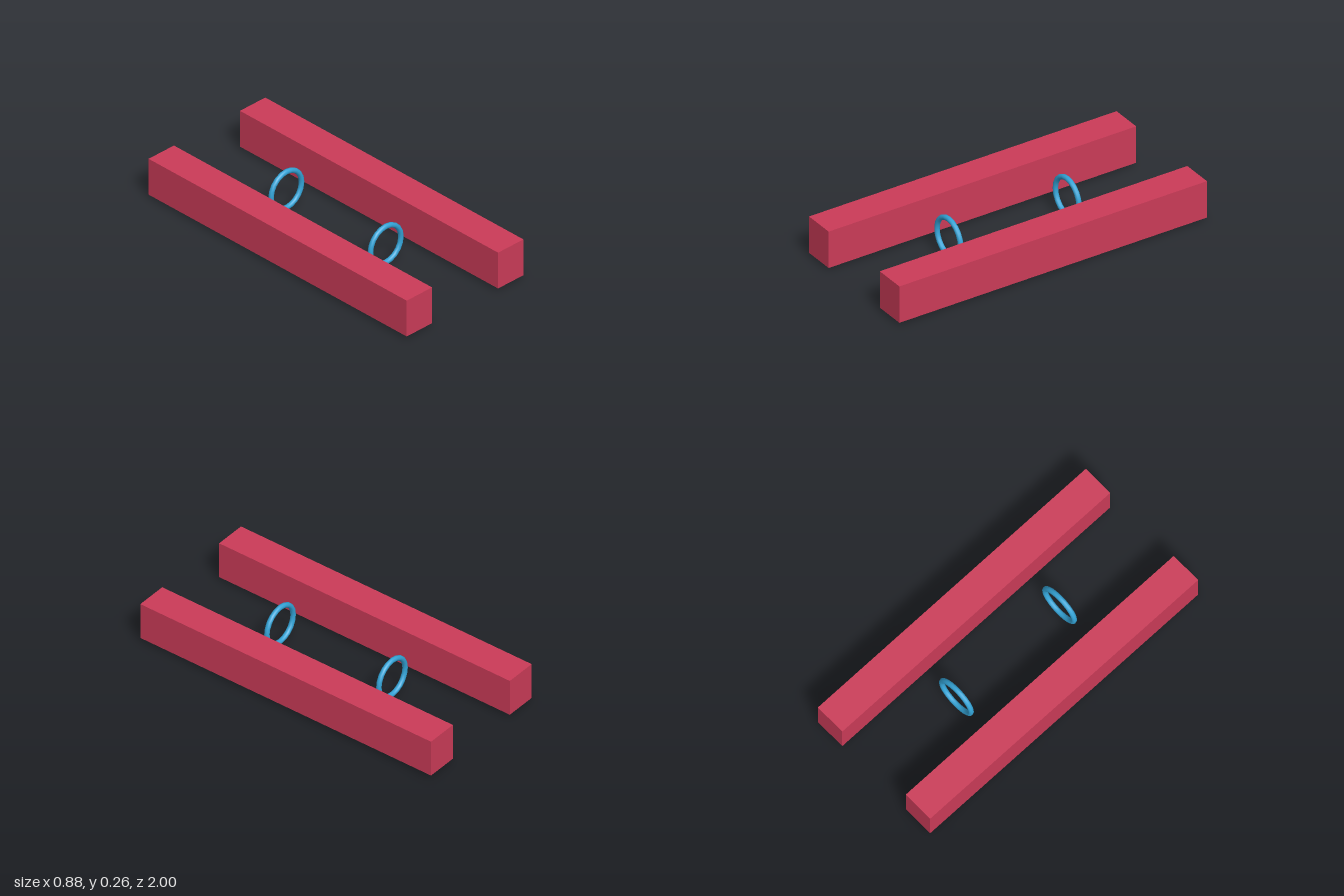
import * as THREE from 'three';

export function createModel() {
  const model = new THREE.Group();
  const red = new THREE.MeshStandardMaterial({ color: 0xcb3b58 });
  red.name = 'crimson';
  const blue = new THREE.MeshStandardMaterial({ color: 0x33a3d6 });
  blue.name = 'sky blue';

  // Two long side beams
  const beamGeometry = new THREE.BoxGeometry(0.192, 0.23, 2);
  for (const [name, side] of [['leftBeam', 1], ['rightBeam', -1]]) {
    const beam = new THREE.Mesh(beamGeometry, red);
    beam.name = name;
    beam.position.set(side * 0.346, 0.131, 0);
    model.add(beam);
  }

  // Two upright rings floating between the beams
  const ringGeometry = new THREE.TorusGeometry(0.1155, 0.0155, 10, 20);
  for (const [name, z] of [['frontRing', 0.385], ['backRing', -0.385]]) {
    const ring = new THREE.Mesh(ringGeometry, blue);
    ring.name = name;
    ring.position.set(0, 0.131, z);
    model.add(ring);
  }
  return model;
}
